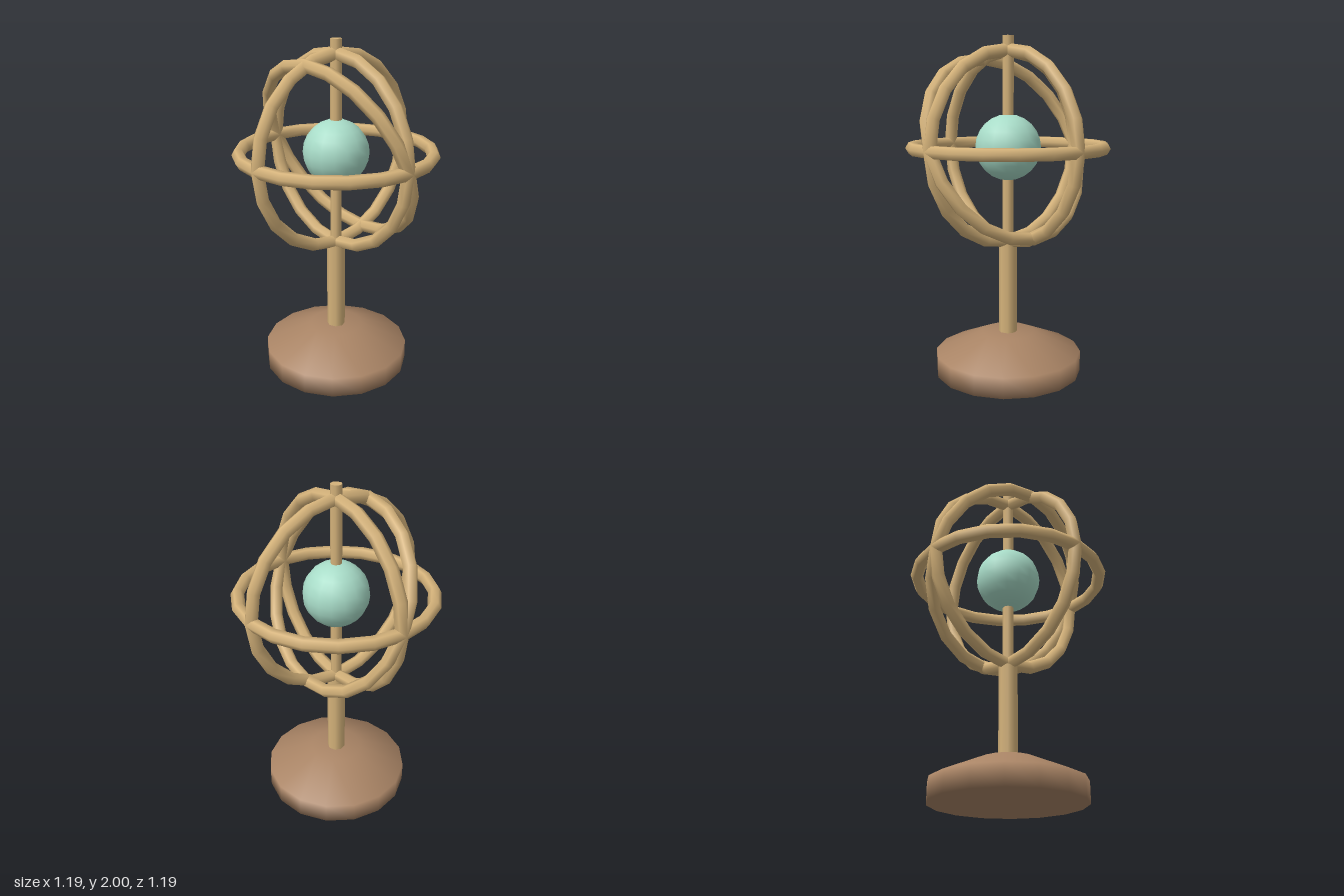
import * as THREE from 'three';

export function createModel() {
  const model = new THREE.Group();
  model.name = 'armillarySphere';

  const material = (name, color) => {
    const m = new THREE.MeshStandardMaterial({ color });
    m.name = name;
    return m;
  };
  const brass = material('paleBrass', 0xd4b27a);
  const wood = material('brownWood', 0xa98465);
  const mint = material('mintGreen', 0xa8dcc8);

  const add = (name, geometry, mat, y = 0) => {
    const mesh = new THREE.Mesh(geometry, mat);
    mesh.name = name;
    mesh.position.y = y;
    model.add(mesh);
    return mesh;
  };
  const centre = 1.362;

  // Sloped foot with softly shaded rim
  const profile = [[0, 0], [0.44, 0], [0.44, 0.122], [0.16, 0.243], [0, 0.243]];
  add('base', new THREE.LatheGeometry(profile.map(([x, y]) => new THREE.Vector2(x, y)), 16), wood);

  // Thick post up to the rings, thin axis through the globe to the tip
  const rod = (name, radius, bottom, top) =>
    add(name, new THREE.CylinderGeometry(radius, radius, top - bottom, 8), brass, (bottom + top) / 2);
  rod('post', 0.055, 0.23, 0.79);
  rod('axis', 0.033, 0.78, 2);

  // Central globe
  add('globe', new THREE.SphereGeometry(0.193, 16, 12), mint, centre);

  // Four rings: two upright, one level and one tilted about x
  const ringGeometry = new THREE.TorusGeometry(0.558, 0.0385, 6, 20);
  const rings = [
    ['frontRing', 0, 0],
    ['sideRing', 0, Math.PI / 2],
    ['horizonRing', Math.PI / 2, 0],
    ['tiltedRing', 0.4, 0],
  ];
  for (const [name, rx, ry] of rings) {
    add(name, ringGeometry, brass, centre).rotation.set(rx, ry, 0);
  }

  return model;
}
